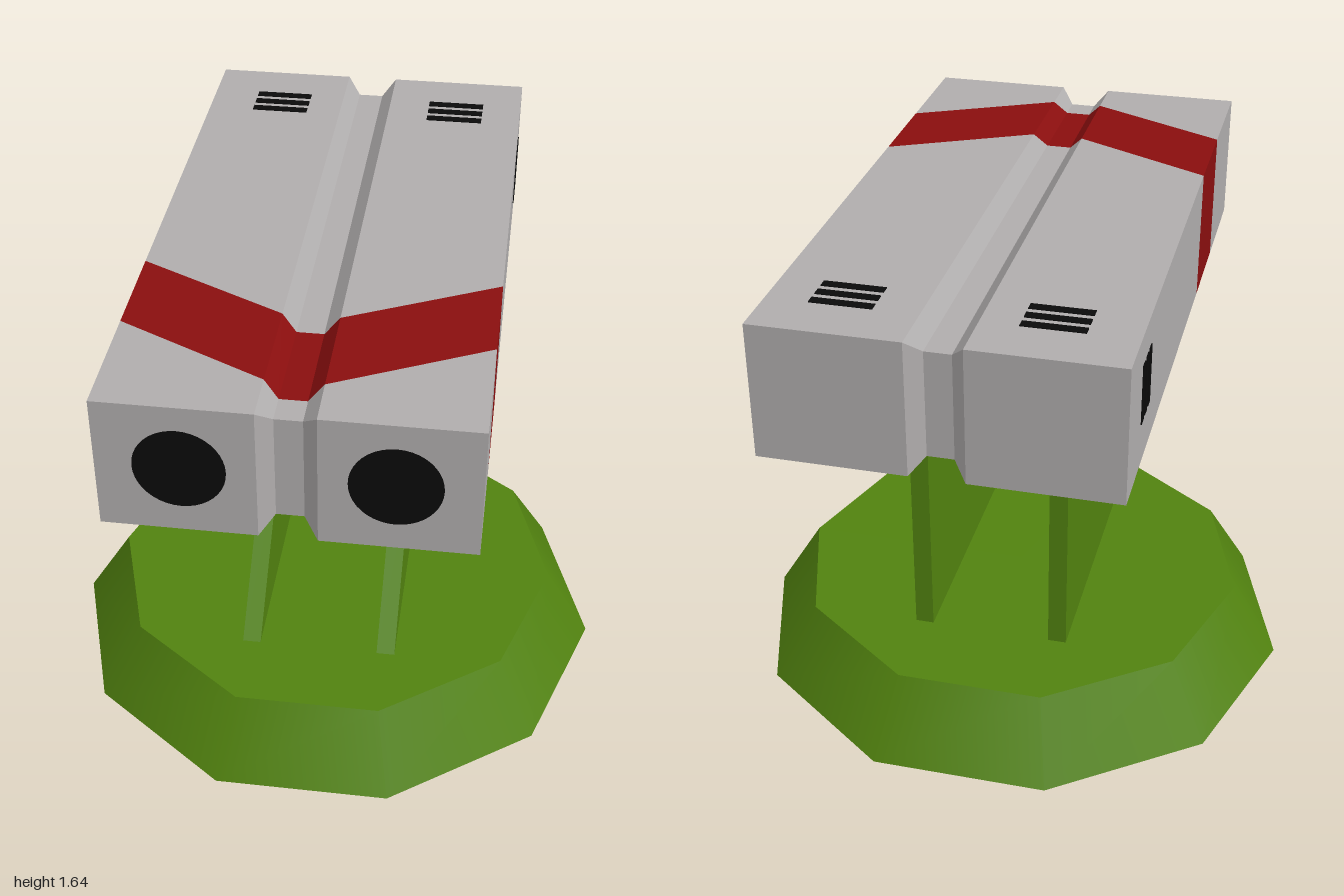
import * as THREE from 'three';

const material = (name, color, side = THREE.FrontSide) => {
  const m = new THREE.MeshStandardMaterial({ color, side });
  m.name = name;
  return m;
};

export function createModel() {
  const group = new THREE.Group();
  const green = material('olive green', 0x51820f, THREE.DoubleSide);
  const grey = material('light grey', 0xb0adad);
  const red = material('dark red', 0x8a0e0e);
  const black = material('black', 0x0a0a0a);

  const add = (name, geometry, mat, x = 0, y = 0, z = 0) => {
    const mesh = new THREE.Mesh(geometry, mat);
    mesh.name = name;
    mesh.position.set(x, y, z);
    group.add(mesh);
    return mesh;
  };

  // Hollow ten-sided base, open underneath
  add('baseSkirt', new THREE.CylinderGeometry(0.76, 0.915, 0.25, 10, 1, true, Math.PI / 2), green, 0, 0.125, 0);
  add('baseTop', new THREE.CircleGeometry(0.76, 10).rotateX(-Math.PI / 2), green, 0, 0.25, 0);

  // Two support fins, profile drawn as (z, y)
  const profile = [[0.465, 0.24], [0.465, 0.25], [0.015, 0.665], [-0.175, 1.1], [-0.2, 1.215], [-0.435, 1.215], [-0.435, 0.24]];
  const fin = new THREE.ExtrudeGeometry(
    new THREE.Shape(profile.map(([z, y]) => new THREE.Vector2(z, y))),
    { depth: 0.06, bevelEnabled: false }
  ).rotateY(-Math.PI / 2);
  add('rightFin', fin, green, -0.195, 0, 0);
  add('leftFin', fin, green, 0.26, 0, 0);

  // Twin-tube housing: rectangular sections along x, pinched in the middle,
  // each cut along z so the chevron stripe is made of its own faces
  const stations = [[-0.53, 0], [-0.083, 0], [-0.04, 0.045], [0.04, 0.045], [0.083, 0], [0.53, 0]];
  const sections = stations.map(([x, inset]) => {
    const stripe = 0.3 + (0.53 - Math.abs(x)) * 0.5;
    const cuts = [-1 + inset, stripe, stripe + 0.32, 1 - inset];
    return {
      top: cuts.map((z) => [x, 1.635 - inset, z]),
      bottom: cuts.map((z) => [x, 1.215 + inset, z])
    };
  });
  const shell = [], band = [];
  const quad = (list, a, b, c, d) => list.push(...a, ...b, ...c, ...a, ...c, ...d);
  for (let i = 0; i < sections.length - 1; i++) {
    const s = sections[i], t = sections[i + 1];
    for (let j = 0; j < 3; j++) {
      const list = j === 1 ? band : shell;
      quad(list, s.top[j], s.top[j + 1], t.top[j + 1], t.top[j]);
      quad(list, s.bottom[j], t.bottom[j], t.bottom[j + 1], s.bottom[j + 1]);
    }
    quad(shell, s.bottom[3], t.bottom[3], t.top[3], s.top[3]);
    quad(shell, s.bottom[0], s.top[0], t.top[0], t.bottom[0]);
  }
  const first = sections[0], last = sections[sections.length - 1];
  for (let j = 0; j < 3; j++) {
    const list = j === 1 ? band : shell;
    quad(list, last.bottom[j], last.top[j], last.top[j + 1], last.bottom[j + 1]);
    quad(list, first.bottom[j], first.bottom[j + 1], first.top[j + 1], first.top[j]);
  }
  const faces = (positions) => {
    const g = new THREE.BufferGeometry();
    g.setAttribute('position', new THREE.Float32BufferAttribute(positions, 3));
    g.computeVertexNormals();
    return g;
  };
  add('housing', faces(shell), grey);
  add('chevronStripe', faces(band), red);

  // Muzzle openings and rear vents on top and sides
  const muzzle = new THREE.CircleGeometry(0.13, 40);
  const topSlot = new THREE.BoxGeometry(0.185, 0.004, 0.03);
  const sideSlot = new THREE.BoxGeometry(0.004, 0.185, 0.032);
  for (const side of [-1, 1]) {
    const name = side > 0 ? 'left' : 'right';
    add(name + 'Muzzle', muzzle, black, side * 0.295, 1.43, 1.002);
    for (let k = 0; k < 3; k++) {
      add(name + 'TopVent', topSlot, black, side > 0 ? 0.31 : -0.288, 1.636, -0.72 - k * 0.052);
      add(name + 'SideVent', sideSlot, black, side * 0.531, 1.447, -0.689 - k * 0.051);
    }
  }
  return group;
}
